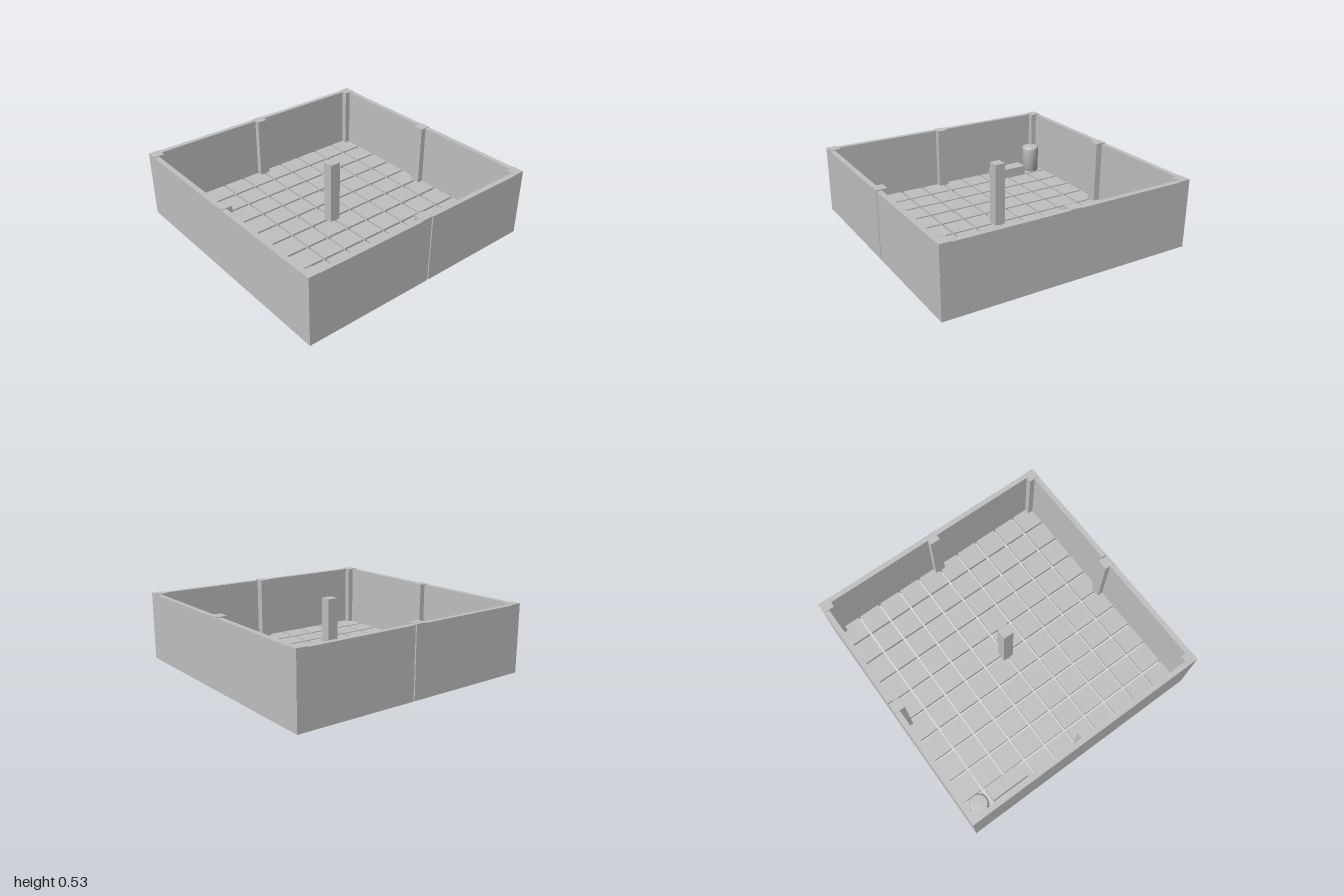
import * as THREE from 'three';

export function createModel() {
  const model = new THREE.Group();
  const grey = new THREE.MeshStandardMaterial({ color: 0xc0c0c0 });
  grey.name = 'light grey';

  // Box given by its lower and upper limits on each axis
  function box(name, x0, x1, y0, y1, z0, z1, parent = model) {
    const mesh = new THREE.Mesh(new THREE.BoxGeometry(x1 - x0, y1 - y0, z1 - z0), grey);
    mesh.name = name;
    mesh.position.set((x0 + x1) / 2, (y0 + y1) / 2, (z0 + z1) / 2);
    parent.add(mesh);
    return mesh;
  }

  // Outer walls; each side wall has a narrow slit behind its middle post
  const wallTop = 0.53, t = 0.04;
  box('frontWall', -1, 1, 0, wallTop, 1 - t, 1);
  box('backWall', -1, 1, 0, wallTop, -1, -1 + t);
  for (const [name, x] of [['left', 1 - t], ['right', -1]]) {
    box(name + 'WallFront', x, x + t, 0, wallTop, -0.0425, 1 - t);
    box(name + 'WallBack', x, x + t, 0, wallTop, -1 + t, -0.053);
  }

  // Nine square posts standing just proud of the walls
  const h = 0.0425;
  for (const i of [-1, 0, 1]) {
    for (const j of [-1, 0, 1]) {
      const x = i * (1 - h), z = j * (1 - h);
      box('post', x - h, x + h, 0.002, 0.535, z - h, z + h);
    }
  }

  // Floor of ten by ten hollow tiles: a thin top with a skirt round its edge
  const floor = new THREE.Group();
  floor.name = 'floor';
  model.add(floor);
  const pitch = 0.194, r = 0.088, s = 0.006, top = 0.035, under = 0.025;
  for (let i = 0; i < 10; i++) {
    for (let j = 0; j < 10; j++) {
      const x = (i - 4.5) * pitch, z = (j - 4.5) * pitch;
      const tile = new THREE.Group();
      tile.name = 'floorTile';
      tile.position.set(x, 0, z);
      box('tileTop', -r, r, under, top, -r, r, tile);
      box('tileSkirt', -r, r, 0, under, r - s, r, tile);
      box('tileSkirt', -r, r, 0, under, -r, -r + s, tile);
      box('tileSkirt', r - s, r, 0, under, -r + s, r - s, tile);
      box('tileSkirt', -r, -r + s, 0, under, -r + s, r - s, tile);
      floor.add(tile);
    }
  }

  // Round container with a rounded shoulder in the front right corner
  const profile = [[0, 0], [0.072, 0], [0.072, 0.2], [0.07, 0.212], [0.065, 0.221], [0.058, 0.225], [0, 0.225]];
  const container = new THREE.Mesh(
    new THREE.LatheGeometry(profile.map(([x, y]) => new THREE.Vector2(x, y)), 32), grey);
  container.name = 'roundContainer';
  container.position.set(-0.87, top, 0.865);
  model.add(container);

  // Low trough beside it
  box('trough', -0.76, -0.445, top, 0.11, 0.785, 0.895);

  return model;
}
